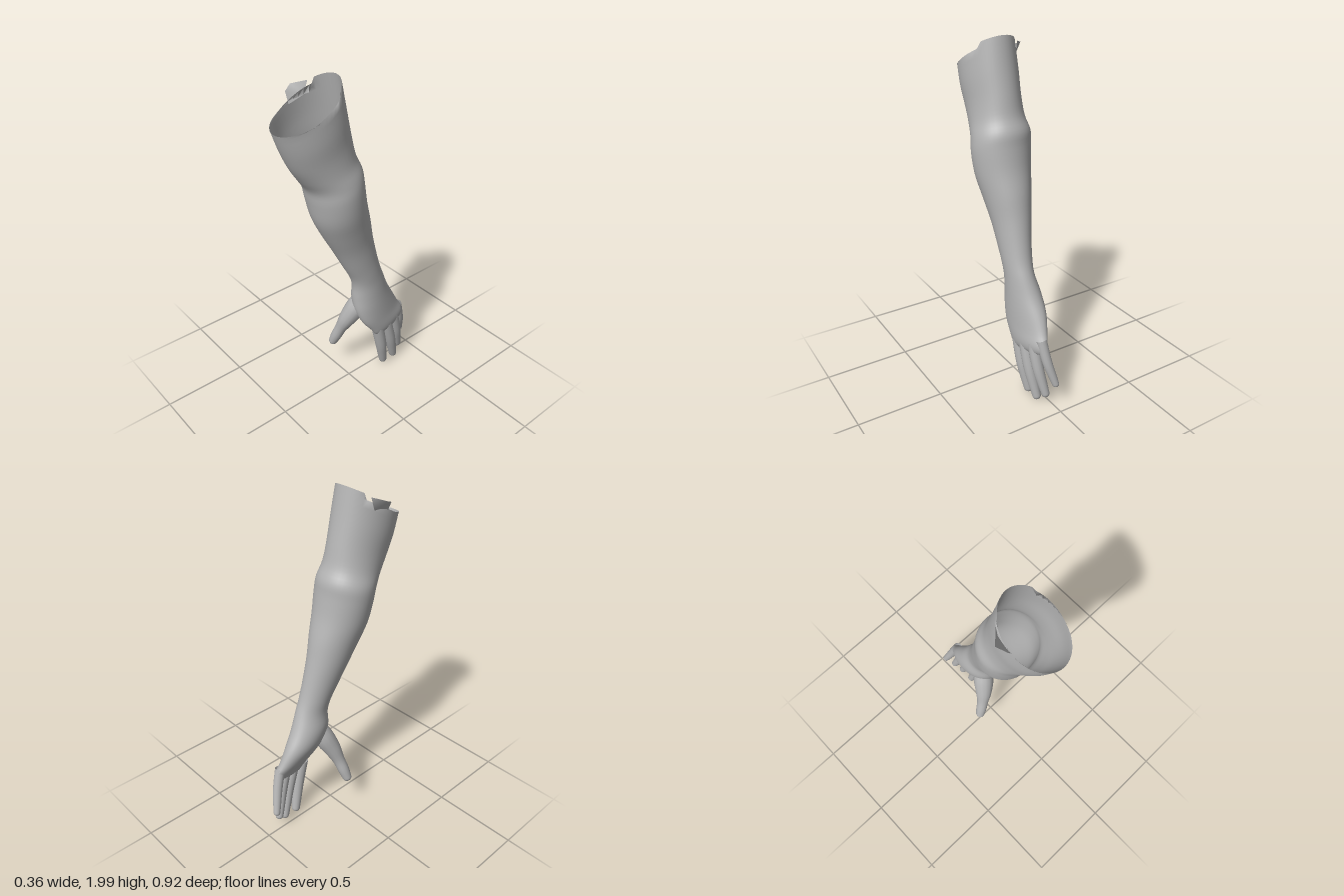
import * as THREE from 'three';

const skin = new THREE.MeshStandardMaterial({ color: 0xb4b4b4, side: THREE.DoubleSide });
skin.name = 'plain grey';

// Catmull-Rom blend of rows of numbers
function smoothRows(rows, steps) {
  const out = [];
  const n = rows.length - 1;
  for (let i = 0; i < n; i++) {
    const a = rows[Math.max(i - 1, 0)], b = rows[i], c = rows[i + 1], d = rows[Math.min(i + 2, n)];
    for (let s = 0; s < steps; s++) {
      const t = s / steps;
      out.push(b.map((p, k) => p + 0.5 * t * (c[k] - a[k]
        + t * (2 * a[k] - 5 * p + 4 * c[k] - d[k] + t * (3 * (p - c[k]) + d[k] - a[k])))));
    }
  }
  out.push(rows[n]);
  return out;
}

// Skin over elliptical sections: centre c, half axes u (front) and v (side)
function loft(sections, sides, adjust) {
  const pos = [], index = [];
  sections.forEach(({ c, u, v }, i) => {
    for (let j = 0; j < sides; j++) {
      const a = (j / sides) * Math.PI * 2;
      const p = c.clone().addScaledVector(u, Math.cos(a)).addScaledVector(v, Math.sin(a));
      if (adjust) adjust(p, i);
      pos.push(p.x, p.y, p.z);
      if (i < sections.length - 1) {
        const k = (j + 1) % sides, r = i * sides, q = r + sides;
        index.push(r + j, q + j, r + k, q + j, q + k, r + k);
      }
    }
  });
  const g = new THREE.BufferGeometry();
  g.setAttribute('position', new THREE.Float32BufferAttribute(pos, 3));
  g.setIndex(index);
  g.computeVertexNormals();
  return g;
}

// Section from [front z, front y, back z, back y, min x, max x, side skew]
function armSection([fz, fy, bz, by, x0, x1, skew]) {
  return {
    c: new THREE.Vector3((x0 + x1) / 2, (fy + by) / 2, (fz + bz) / 2),
    u: new THREE.Vector3(skew, (fy - by) / 2, (fz - bz) / 2),
    v: new THREE.Vector3((x1 - x0) / 2, 0, 0),
  };
}

// Round-tipped digit from rows [x, y, z, radius]
function digit(rows) {
  const path = smoothRows(rows, 5);
  const end = path[path.length - 1], before = path[path.length - 2];
  const dir = new THREE.Vector3(end[0] - before[0], end[1] - before[1], end[2] - before[2]).normalize();
  for (let i = 1; i <= 6; i++) {
    const a = (i / 6) * Math.PI / 2, r = end[3];
    path.push([end[0] + dir.x * r * Math.sin(a), end[1] + dir.y * r * Math.sin(a),
      end[2] + dir.z * r * Math.sin(a), Math.max(r * Math.cos(a), 0.0002)]);
  }
  return loft(path.map(([x, y, z, r], i) => {
    const p = path[Math.max(i - 1, 0)], q = path[Math.min(i + 1, path.length - 1)];
    const t = new THREE.Vector3(q[0] - p[0], q[1] - p[1], q[2] - p[2]).normalize();
    const v = new THREE.Vector3(1, 0, 0).addScaledVector(t, -t.x).normalize();
    const u = new THREE.Vector3().crossVectors(v, t).negate();
    if (u.z < 0) u.negate();
    return { c: new THREE.Vector3(x, y, z), u: u.multiplyScalar(r), v: v.multiplyScalar(r) };
  }), 14);
}

export function createModel() {
  const group = new THREE.Group();
  const add = (geometry, name) => {
    const mesh = new THREE.Mesh(geometry, skin);
    mesh.name = name;
    group.add(mesh);
  };

  // Open upper arm, elbow and forearm down to the wrist
  const arm = [
    [0.46, 1.79, 0.085, 2.0, -0.14, 0.15, 0],
    [0.42, 1.68, 0.055, 1.84, -0.145, 0.155, 0],
    [0.375, 1.58, 0.025, 1.7, -0.14, 0.15, 0],
    [0.325, 1.5, 0, 1.59, -0.145, 0.155, 0],
    [0.28, 1.43, -0.035, 1.51, -0.162, 0.17, 0],
    [0.263, 1.35, -0.045, 1.43, -0.16, 0.178, 0],
    [0.235, 1.23, -0.065, 1.31, -0.145, 0.17, 0],
    [0.18, 1.11, -0.1, 1.18, -0.118, 0.148, 0],
    [0.11, 0.98, -0.125, 1.06, -0.093, 0.128, 0],
    [0.05, 0.86, -0.155, 0.93, -0.067, 0.118, 0],
    [0.005, 0.77, -0.185, 0.82, -0.05, 0.113, 0],
    [-0.012, 0.7, -0.217, 0.74, -0.045, 0.11, 0],
  ];
  // Palm, flattening towards the knuckles
  const palm = [
    [-0.012, 0.62, -0.265, 0.635, -0.062, 0.11, 0.005],
    [-0.02, 0.53, -0.32, 0.54, -0.055, 0.11, 0.015],
    [-0.055, 0.44, -0.365, 0.45, -0.02, 0.108, 0.022],
    [-0.11, 0.365, -0.397, 0.39, 0.012, 0.106, 0.022],
    [-0.14, 0.32, -0.392, 0.35, 0.03, 0.098, 0.02],
    [-0.18, 0.295, -0.36, 0.33, 0.05, 0.08, 0.012],
    [-0.26, 0.3, -0.28, 0.31, 0.064, 0.066, 0],
  ];
  // The front of the rim is cut lower than the back
  const cutRim = (p, i) => {
    if (i === 0 && p.z > 0.14) p.y = 1.79 + (0.46 - p.z) * 0.34;
  };
  add(loft(smoothRows([...arm, ...palm], 4).map(armSection), 40, cutRim), 'armAndPalm');

  // Torn flap standing out from the rim
  const flap = new THREE.BufferGeometry();
  flap.setAttribute('position', new THREE.Float32BufferAttribute([
    -0.125, 1.95, 0.16, -0.185, 1.93, 0.22, -0.16, 1.91, 0.27, -0.135, 1.85, 0.27, -0.13, 1.88, 0.18,
  ], 3));
  flap.setIndex([0, 1, 4, 1, 2, 4, 2, 3, 4]);
  flap.computeVertexNormals();
  add(flap, 'rimFlap');

  // Thumb swinging to the palm side
  add(digit([
    [0.02, 0.6, -0.09, 0.05],
    [-0.005, 0.52, -0.06, 0.062],
    [-0.04, 0.43, -0.022, 0.052],
    [-0.072, 0.35, 0.002, 0.037],
    [-0.1, 0.28, 0.017, 0.034],
    [-0.12, 0.228, 0.027, 0.028],
  ]), 'thumb');

  // Fingers: knuckle, tip centre and base radius
  const fingers = {
    indexFinger: [[0.07, 0.36, -0.168], [0.05, 0.035, -0.245], 0.038],
    middleFinger: [[0.07, 0.37, -0.235], [0.05, 0.035, -0.332], 0.037],
    ringFinger: [[0.06, 0.385, -0.303], [0.03, 0.078, -0.39], 0.035],
    littleFinger: [[0.042, 0.42, -0.358], [-0.006, 0.158, -0.436], 0.03],
  };
  for (const [name, [a, b, r]] of Object.entries(fingers)) {
    const at = (t, s, bow = 0) => [
      ...a.map((p, k) => p + (b[k] - p) * t + (k === 0 ? bow : 0)), r * s];
    add(digit([at(0, 1), at(0.3, 0.97, 0.006), at(0.55, 0.92, 0.008),
      at(0.8, 0.8, 0.004), at(1, 0.68)]), name);
  }
  return group;
}
